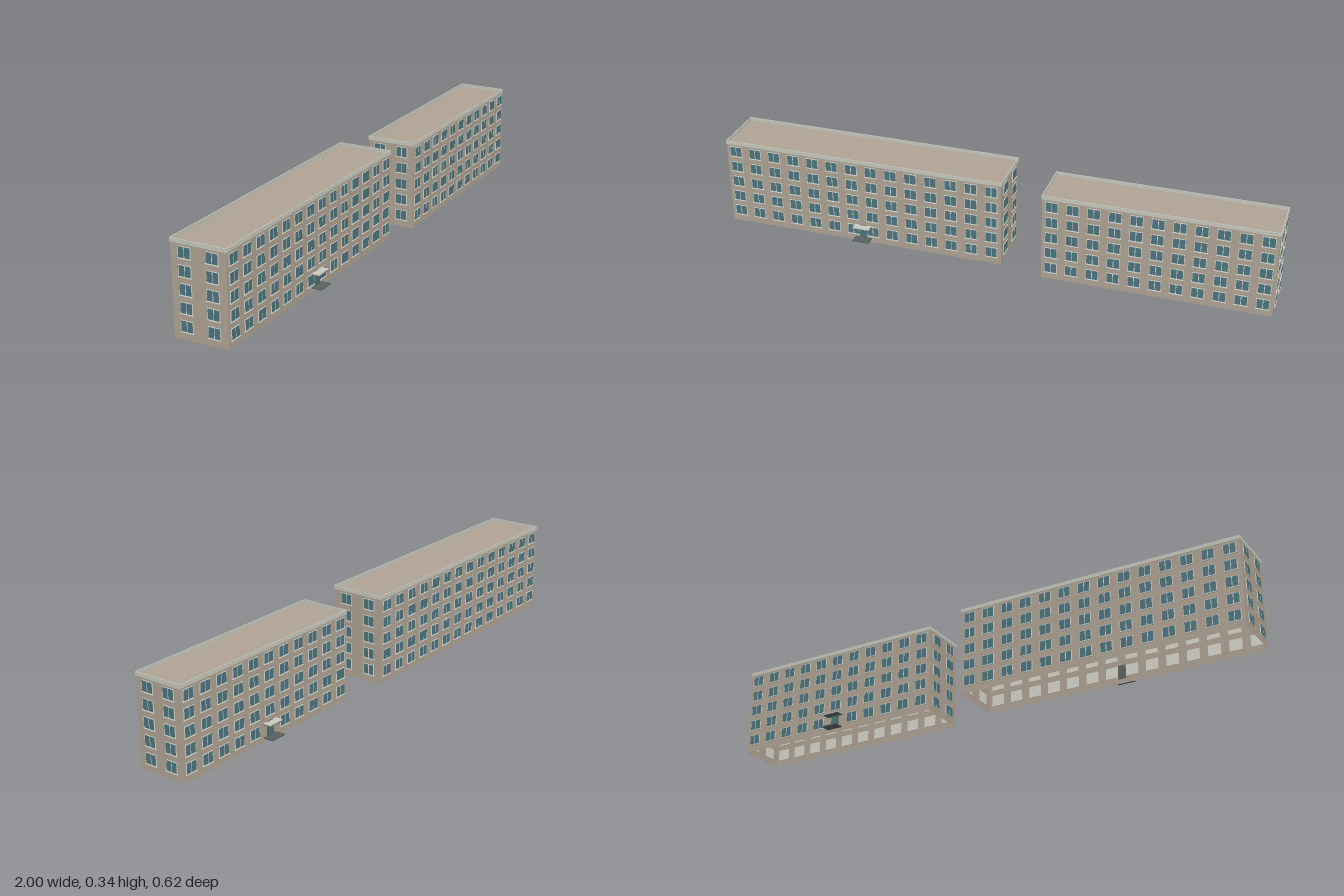
import * as THREE from 'three';
import { mergeGeometries } from 'three/addons/utils/BufferGeometryUtils.js';

const mat = (name, color, side = THREE.FrontSide) => {
  const m = new THREE.MeshStandardMaterial({ color, side });
  m.name = name;
  return m;
};

const HEIGHT = 0.3265, BAND = 0.313, ROOF = 0.3145;
const FLOORS = 5, FLOOR_STEP = 0.0602, FIRST_ROW = 0.0455;
const WIN_W = 0.045, WIN_H = 0.038;

export function createModel() {
  const wall = mat('wall plaster', 0xaea292, THREE.DoubleSide);
  const trim = mat('pale parapet', 0xc6c8bd, THREE.DoubleSide);
  const frame = mat('window frame', 0xd6d5cc);
  const glass = mat('window glass', 0x4c747f);
  const dark = mat('entrance metal', 0x59625f);

  const mesh = (name, geo, material) => {
    const m = new THREE.Mesh(geo, material);
    m.name = name;
    return m;
  };
  const box = (w, h, d, x, y, z) => new THREE.BoxGeometry(w, h, d).translate(x, y, z);
  const rectPoints = (w, d) => [[-w / 2, -d / 2], [w / 2, -d / 2], [w / 2, d / 2], [-w / 2, d / 2]]
    .map(([x, y]) => new THREE.Vector2(x, y));

  // Rows of two-pane windows on one facade whose outside faces +z
  function facade(width, columns, spacing, skipDoor) {
    const frames = [], panes = [];
    for (let f = 0; f < FLOORS; f++) {
      for (let c = 0; c < columns; c++) {
        const x = (c - (columns - 1) / 2) * spacing;
        if (skipDoor && f === 0 && Math.abs(x) < 0.01) continue;
        const y = FIRST_ROW + f * FLOOR_STEP;
        frames.push(box(WIN_W, WIN_H, 0.004, x, y, 0));
        frames.push(box(WIN_W + 0.003, 0.002, 0.006, x, y - WIN_H / 2 - 0.001, 0.001));
        for (const s of [-1, 1]) {
          panes.push(new THREE.PlaneGeometry(WIN_W / 2 - 0.003, WIN_H - 0.003)
            .translate(x + s * (WIN_W / 4 - 0.0003), y, 0.0024));
        }
      }
    }
    const g = new THREE.Group();
    g.name = 'facade';
    g.add(mesh('wall', new THREE.PlaneGeometry(width, BAND).translate(0, BAND / 2, 0), wall));
    g.add(mesh('windowFrames', mergeGeometries(frames), frame));
    g.add(mesh('windowPanes', mergeGeometries(panes), glass));
    return g;
  }

  // Door with landing, step and canopy
  function entrance() {
    const g = new THREE.Group();
    g.name = 'entrance';
    g.add(mesh('doorFrame', box(0.029, 0.05, 0.006, 0, 0.038, 0.001), dark));
    const leaves = [-1, 1].map(s =>
      new THREE.PlaneGeometry(0.0115, 0.044).translate(s * 0.0065, 0.038, 0.0043));
    g.add(mesh('doorGlass', mergeGeometries(leaves), glass));
    g.add(mesh('landing', box(0.062, 0.004, 0.036, 0, 0.0115, 0.018), dark));
    g.add(mesh('canopy', box(0.062, 0.004, 0.028, 0, 0.061, 0.014), trim));
    g.add(mesh('canopyEdge', box(0.064, 0.0015, 0.03, 0, 0.0583, 0.015), dark));
    return g;
  }

  function building(name, L, W, columns, endSpacing, doorAtBack) {
    const g = new THREE.Group();
    g.name = name;
    const l = L - 0.004, w = W - 0.004;

    // Four facades, turned outwards
    const sides = [
      ['frontFacade', l, columns, L / columns, 0, 0, w / 2, 0],
      ['backFacade', l, columns, L / columns, 0, 0, -w / 2, Math.PI],
      ['leftFacade', w, 2, endSpacing, 0, l / 2, 0, Math.PI / 2],
      ['rightFacade', w, 2, endSpacing, 0, -l / 2, 0, -Math.PI / 2],
    ];
    for (const [label, width, n, step, , x, z, turn] of sides) {
      const hasDoor = label === (doorAtBack ? 'backFacade' : 'frontFacade');
      const f = facade(width, n, step, hasDoor);
      f.name = label;
      f.position.set(x, 0, z);
      f.rotation.y = turn;
      if (hasDoor) {
        const door = entrance();
        door.position.y = 0.004;
        f.add(door);
      }
      g.add(f);
    }

    // Flat roof behind a thin parapet
    g.add(mesh('roof', new THREE.PlaneGeometry(l, w).rotateX(-Math.PI / 2).translate(0, ROOF, 0), wall));
    const ring = new THREE.Shape(rectPoints(L, W));
    ring.holes.push(new THREE.Path(rectPoints(L - 0.006, W - 0.006).reverse()));
    const parapet = new THREE.ExtrudeGeometry(ring, { depth: HEIGHT - BAND, bevelEnabled: false })
      .rotateX(-Math.PI / 2).translate(0, BAND, 0);
    g.add(mesh('parapet', parapet, trim));
    g.rotation.y = THREE.MathUtils.degToRad(13.2);
    return g;
  }

  const model = new THREE.Group();
  model.name = 'apartmentBlocks';
  const longBlock = building('longBlock', 1.0445, 0.2017, 14, 0.098, false);
  longBlock.position.set(-0.4685, 0.0135, 0.093);
  const shortBlock = building('shortBlock', 0.8118, 0.1824, 11, 0.087, true);
  shortBlock.position.set(0.584, 0, -0.129);
  model.add(longBlock, shortBlock);
  return model;
}
